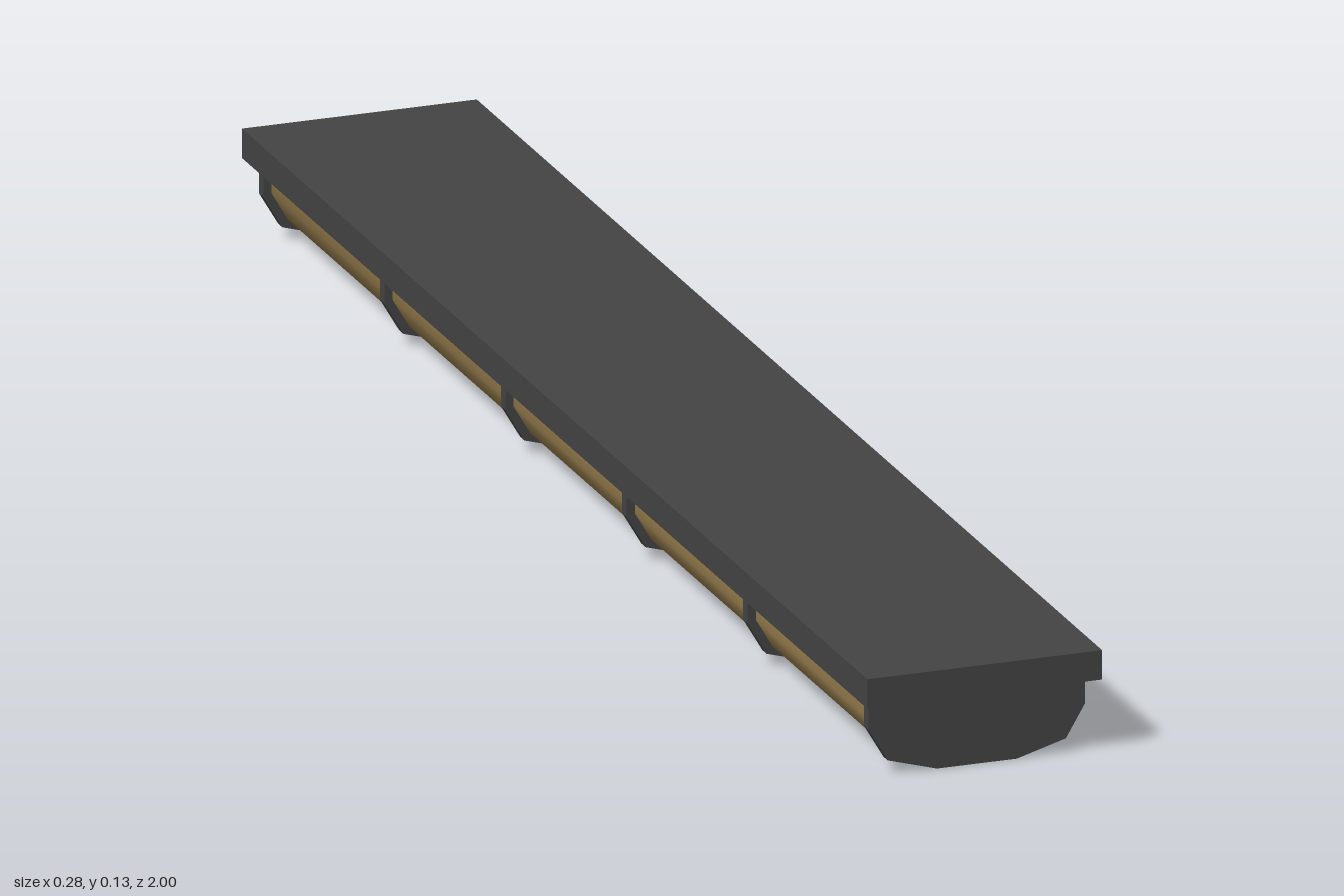
import * as THREE from 'three';

// Half cross-sections from the top edge down to the bottom flat: [x, y]
const RIB = [[0.13, 0.091], [0.13, 0.056], [0.107, 0.017], [0.048, 0]];
const LENS = [[0.12, 0.091], [0.12, 0.059], [0.1, 0.025], [0.046, 0.01]];

const mirrored = (half) => [...half, ...half.map(([x, y]) => [-x, y]).reverse()];

// Smooth open trough running along z
function troughGeometry(half, length) {
  const pts = mirrored(half);
  const positions = [];
  const index = [];
  pts.forEach(([x, y], i) => {
    positions.push(x, y, -length / 2, x, y, length / 2);
    if (i < pts.length - 1) {
      const a = i * 2;
      index.push(a, a + 1, a + 2, a + 1, a + 3, a + 2);
    }
  });
  const geo = new THREE.BufferGeometry();
  geo.setAttribute('position', new THREE.Float32BufferAttribute(positions, 3));
  geo.setIndex(index);
  geo.computeVertexNormals();
  return geo;
}

export function createModel() {
  const group = new THREE.Group();
  const housing = new THREE.MeshStandardMaterial({ color: 0x444444 });
  housing.name = 'charcoal housing';
  const amber = new THREE.MeshStandardMaterial({ color: 0xa08552, side: THREE.DoubleSide });
  amber.name = 'amber lens';

  // Flat mounting plate
  const plate = new THREE.Mesh(new THREE.BoxGeometry(0.282, 0.035, 2), housing);
  plate.name = 'mountingPlate';
  plate.position.y = 0.1085;
  group.add(plate);

  // Long lens below the plate
  const lens = new THREE.Mesh(troughGeometry(LENS, 1.936), amber);
  lens.name = 'lens';
  group.add(lens);

  // Six evenly spaced ribs; the outer two close the ends
  const thickness = 0.014;
  const shape = new THREE.Shape(mirrored(RIB).map(([x, y]) => new THREE.Vector2(x, y)));
  const ribGeo = new THREE.ExtrudeGeometry(shape, { depth: thickness, bevelEnabled: false });
  ribGeo.translate(0, 0, -thickness / 2);
  for (let i = 0; i < 6; i++) {
    const rib = new THREE.Mesh(ribGeo, housing);
    rib.name = i === 0 || i === 5 ? 'endCap' : 'rib';
    rib.position.z = -0.968 + i * 0.3872;
    group.add(rib);
  }
  return group;
}
